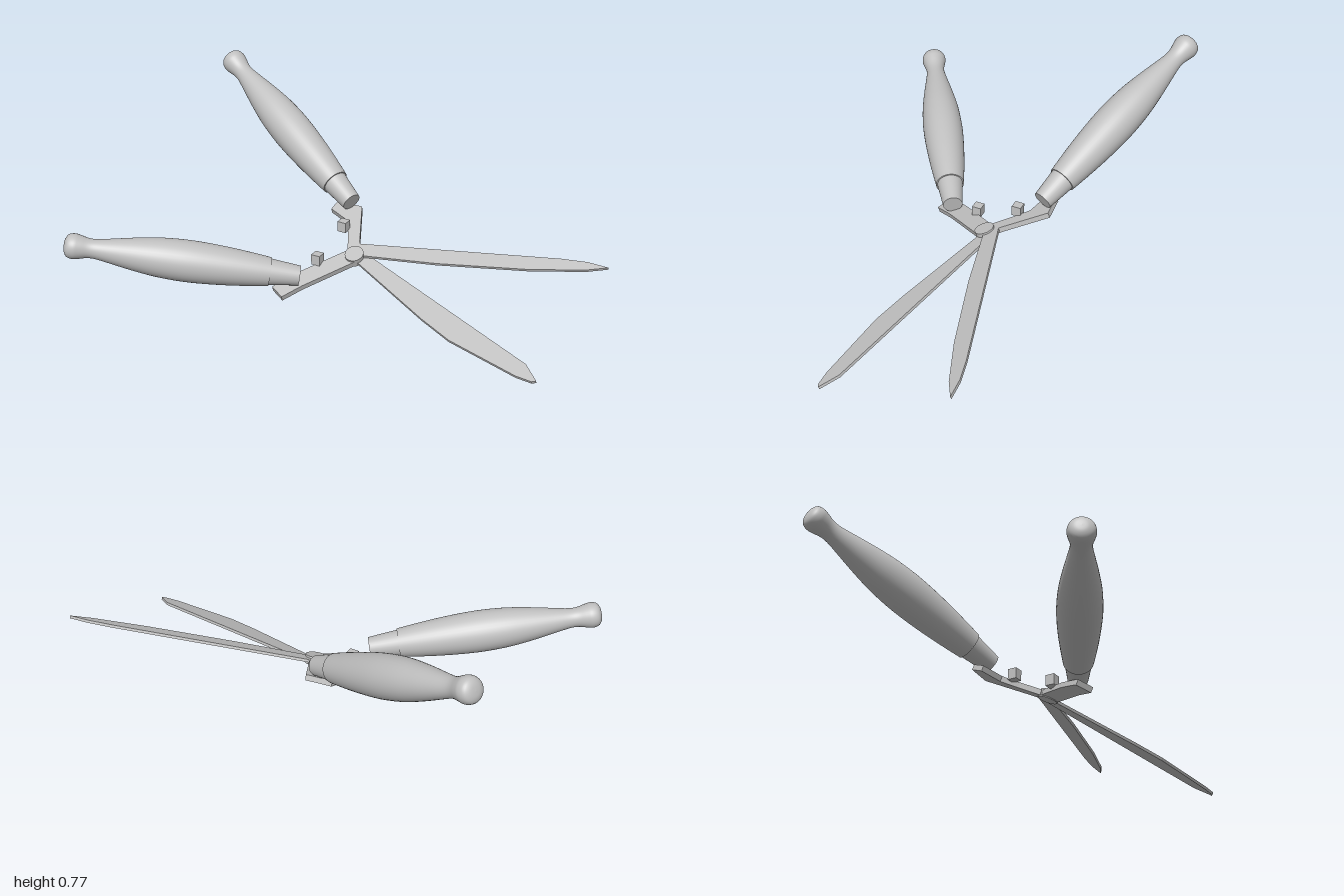
import * as THREE from 'three';

const steel = new THREE.MeshStandardMaterial({ color: 0xc0c0c0 });
steel.name = 'lightGrey';

// The blades and tangs lie in one tilted plane: plan coordinates (x, -z) map onto it,
// and the third axis is height above the plane.
const planeMatrix = new THREE.Matrix4().makeBasis(
  new THREE.Vector3(1, -0.07, 0),
  new THREE.Vector3(0, 0.38, -1),
  new THREE.Vector3(0.07, 1, 0.38).normalize()
).setPosition(0, 0.142, 0);

function addMesh(parent, name, geometry) {
  const mesh = new THREE.Mesh(geometry, steel);
  mesh.name = name;
  parent.add(mesh);
  return mesh;
}

// Flat plate from a plan outline of [x, z] points, between two heights above the plane
function addPlate(parent, name, outline, low, high) {
  const shape = new THREE.Shape(outline.map(([x, z]) => new THREE.Vector2(x, -z)));
  const geometry = new THREE.ExtrudeGeometry(shape, { depth: high - low, bevelEnabled: false });
  geometry.translate(0, 0, low).applyMatrix4(planeMatrix);
  return addMesh(parent, name, geometry);
}

// Turned handle with a ferrule, running from its flat end to the knob
function addHandle(parent, name, from, to) {
  const handle = new THREE.Group();
  handle.name = name;
  const v = (r, t) => new THREE.Vector2(r, t);
  addMesh(handle, 'ferrule', new THREE.CylinderGeometry(0.056, 0.042, 0.13, 32).translate(0, 0.065, 0));
  const gripCurve = new THREE.SplineCurve([
    v(0.061, 0.125), v(0.07, 0.2), v(0.08, 0.3), v(0.087, 0.41), v(0.088, 0.5),
    v(0.082, 0.6), v(0.068, 0.7), v(0.052, 0.79), v(0.042, 0.85), v(0.042, 0.885),
    v(0.05, 0.92), v(0.054, 0.945), v(0.047, 0.97), v(0.026, 0.983), v(0, 0.986),
  ]);
  const profile = gripCurve.getPoints(56);
  profile[profile.length - 1].x = 0;
  addMesh(handle, 'grip', new THREE.LatheGeometry(profile, 40));
  // Shoulder closing the grip where it meets the ferrule
  const shoulder = new THREE.RingGeometry(0.05, 0.061, 40).rotateX(Math.PI / 2).translate(0, 0.125, 0);
  addMesh(handle, 'gripShoulder', shoulder);
  handle.position.copy(from);
  const axis = to.clone().sub(from).normalize();
  handle.quaternion.setFromUnitVectors(new THREE.Vector3(0, 1, 0), axis);
  parent.add(handle);
}

export function createModel() {
  const model = new THREE.Group();
  model.name = 'hedgeShears';

  // Blades, one sliding over the other
  addPlate(model, 'rearBlade', [
    [-0.03, -0.155], [0.8, -0.4], [0.91, -0.425], [1, -0.43],
    [0.92, -0.385], [0.7, -0.3], [0.33, -0.185], [0.02, -0.105], [-0.04, -0.09],
  ], 0, 0.012);
  addPlate(model, 'frontBlade', [
    [-0.03, -0.13], [0.02, -0.13], [0.885, 0.115], [0.955, 0.17], [0.94, 0.18],
    [0.87, 0.18], [0.55, 0.13], [0.4, 0.08], [0.02, -0.07], [-0.03, -0.08],
  ], -0.012, 0);

  // Cranked tangs running under the handles
  addPlate(model, 'rearTang', [
    [0.01, -0.11], [-0.03, -0.17], [-0.065, -0.24], [-0.115, -0.34], [-0.23, -0.33],
    [-0.235, -0.28], [-0.14, -0.25], [-0.1, -0.19], [-0.055, -0.11],
  ], -0.012, 0.012);
  addPlate(model, 'frontTang', [
    [0.01, -0.07], [-0.14, 0.13], [-0.19, 0.21], [-0.255, 0.18],
    [-0.24, 0.15], [-0.19, 0.07], [-0.06, -0.1],
  ], -0.012, 0.012);

  // Pivot bolt
  const bolt = new THREE.CylinderGeometry(0.04, 0.04, 0.036, 24)
    .rotateX(Math.PI / 2).translate(-0.015, 0.097, 0.002).applyMatrix4(planeMatrix);
  addMesh(model, 'pivotBolt', bolt);

  // Stop blocks on the tangs
  addMesh(model, 'rearStop', new THREE.BoxGeometry(0.04, 0.046, 0.04)).position.set(-0.125, 0.257, -0.195);
  addMesh(model, 'frontStop', new THREE.BoxGeometry(0.04, 0.046, 0.04)).position.set(-0.142, 0.18, -0.003);

  // Handles
  addHandle(model, 'rearHandle',
    new THREE.Vector3(-0.145, 0.322, -0.297), new THREE.Vector3(-0.94, 0.708, -0.61));
  addHandle(model, 'frontHandle',
    new THREE.Vector3(-0.155, 0.155, 0.125), new THREE.Vector3(-0.953, 0.306, 0.61));

  return model;
}
